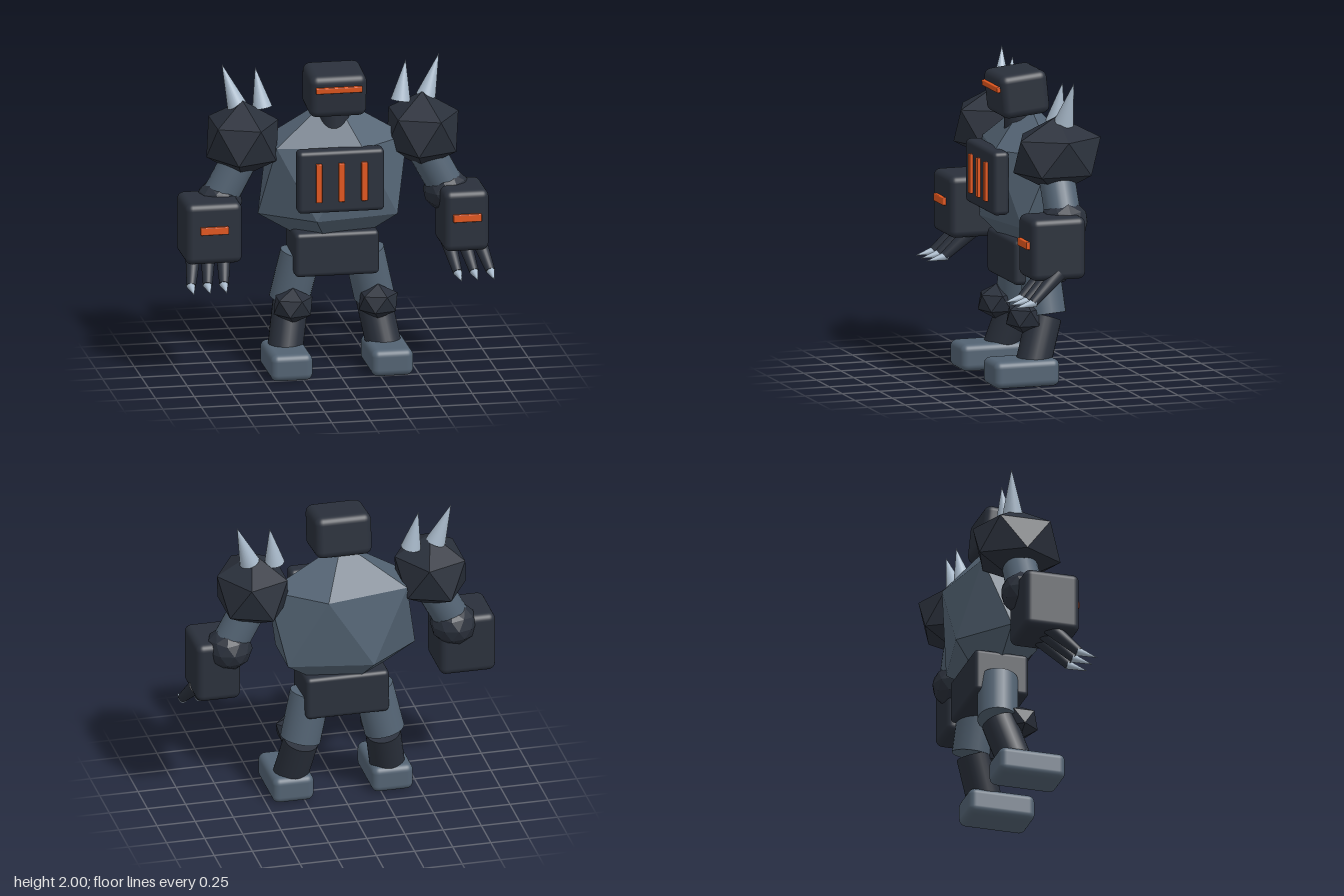
import * as THREE from 'three';
import { RoundedBoxGeometry } from 'three/addons/geometries/RoundedBoxGeometry.js';

const mat = (color, flatShading = false) => {
  const m = new THREE.MeshStandardMaterial({ flatShading });
  m.color.set(color);
  return m;
};
const DARK = 0x2a303b, STEEL = 0x536373;
const dark = mat(DARK), steel = mat(STEEL), glow = mat(0xe2571e), horn = mat(0xaabbcc);
const darkFacet = mat(DARK, true), steelFacet = mat(STEEL, true);

export function createModel() {
  const model = new THREE.Group();
  model.name = 'armouredGolem';

  const add = (name, geometry, material, pos, parent = model) => {
    const mesh = new THREE.Mesh(geometry, material);
    mesh.name = name;
    mesh.position.set(...pos);
    parent.add(mesh);
    return mesh;
  };
  const box = (name, [w, h, d], radius, material, pos, parent) =>
    add(name, new RoundedBoxGeometry(w, h, d, 4, radius), material, pos, parent);
  const bar = (name, size, pos, parent) => box(name, size, 0.006, glow, pos, parent);

  // Faceted ball with one corner pointing straight up
  const rock = (name, radii, material, pos, detail = 0, parent = model) => {
    const g = new THREE.IcosahedronGeometry(1, detail);
    g.rotateZ(-Math.atan(2 / (1 + Math.sqrt(5))));
    g.scale(...radii);
    g.computeVertexNormals();
    return add(name, g, material, pos, parent);
  };

  // Round limb or spike running from point a to point b
  const limb = (name, a, b, ra, rb, material, parent = model) => {
    const from = new THREE.Vector3(...a), to = new THREE.Vector3(...b);
    const dir = to.clone().sub(from);
    const g = new THREE.CylinderGeometry(rb, ra, dir.length(), 24);
    const mesh = add(name, g, material, from.add(to).multiplyScalar(0.5).toArray(), parent);
    mesh.quaternion.setFromUnitVectors(new THREE.Vector3(0, 1, 0), dir.normalize());
    return mesh;
  };

  // Torso, chest plate with glowing vents, pelvis
  rock('torso', [0.54, 0.525, 0.317], steelFacet, [0, 1.255, -0.08]);
  box('chestPlate', [0.56, 0.41, 0.11], 0.03, dark, [0, 1.295, 0.187]);
  for (const x of [-0.147, 0, 0.147]) bar('chestVent', [0.04, 0.255, 0.04], [x, 1.293, 0.241]);
  box('pelvis', [0.545, 0.29, 0.36], 0.03, dark, [0, 0.775, -0.08]);

  // Neck and head, tipped slightly forward
  limb('neck', [0, 1.58, -0.03], [0, 1.78, -0.03], 0.1, 0.1, dark);
  const head = new THREE.Group();
  head.name = 'head';
  head.position.set(0, 1.84, -0.01);
  head.rotation.x = 0.1;
  model.add(head);
  box('skull', [0.37, 0.28, 0.32], 0.05, dark, [0, 0, 0], head);
  bar('visor', [0.3, 0.038, 0.04], [0, 0.055, 0.16], head);

  for (const s of [-1, 1]) {
    const side = new THREE.Group();
    side.name = s > 0 ? 'leftLimbs' : 'rightLimbs';
    model.add(side);

    // Leg
    limb('thigh', [s * 0.275, 0.435, -0.11], [s * 0.205, 0.745, -0.088], 0.13, 0.13, steel, side);
    limb('shin', [s * 0.325, 0.1, 0], [s * 0.268, 0.42, -0.1], 0.113, 0.113, dark, side);
    rock('kneeGuard', [0.14, 0.115, 0.13], darkFacet, [s * 0.275, 0.432, 0.033], 0, side);
    box('foot', [0.27, 0.175, 0.44], 0.045, steel, [s * 0.325, 0.0875, 0.07], side);

    // Shoulder with two spikes
    rock('shoulder', [0.26, 0.252, 0.317], darkFacet, [s * 0.582, 1.522, -0.08], 0, side);
    limb('outerSpike', [s * 0.61, 1.73, -0.115], [s * 0.702, 2, -0.152], 0.064, 0, horn, side);
    limb('innerSpike', [s * 0.447, 1.71, -0.115], [s * 0.487, 1.97, -0.15], 0.064, 0, horn, side);

    // Arm; the left gauntlet is narrower than the right
    limb('upperArm', [s * 0.735, 1.14, -0.07], [s * 0.58, 1.43, -0.07], 0.115, 0.115, steel, side);
    rock('elbow', [0.15, 0.14, 0.155], darkFacet, [s * 0.735, 1.12, -0.075], 1, side);
    box('gauntlet', [s > 0 ? 0.29 : 0.365, 0.4, 0.365], 0.045, dark, [s * 0.816, 0.98, 0.033], side);
    bar('gauntletLight', [0.183, 0.05, 0.04], [s * 0.817, 1.007, 0.217], side);

    // Three clawed fingers
    for (const [i, x] of [0.725, 0.825, 0.92].entries()) {
      const end = [s * (0.755 + i * 0.106), 0.65, 0.215];
      limb('finger', [s * x, 0.82, 0.03], end, 0.05, 0.03, dark, side);
      limb('claw', [end[0], 0.652, 0.2], [end[0] + s * 0.004, 0.622, 0.338], 0.03, 0, horn, side);
    }
  }
  return model;
}
